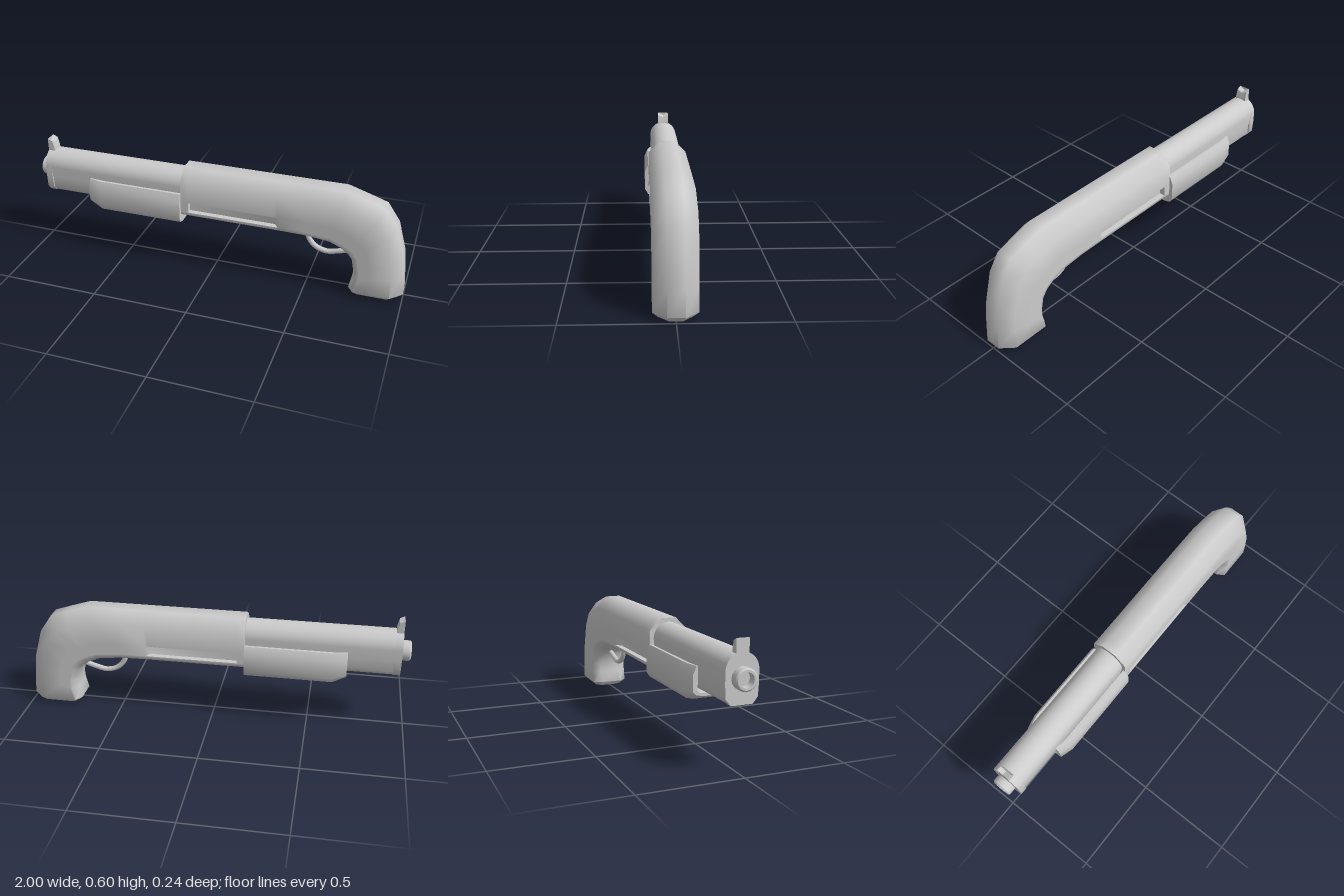
import * as THREE from 'three';
import { toCreasedNormals } from 'three/addons/utils/BufferGeometryUtils.js';

const material = new THREE.MeshStandardMaterial({ color: 0xcccccc });

// Skin a list of equal-length rings; ring point i is opposite point n-1-i, so caps are strips
function loft(rings, crease = 1.05) {
  const n = rings[0].length;
  let tris = [];
  const quad = (a, b, c, d) => tris.push([a, b, c], [a, c, d]);
  for (let k = 0; k < rings.length - 1; k++) {
    for (let i = 0; i < n; i++) {
      const j = (i + 1) % n;
      quad(rings[k][i], rings[k][j], rings[k + 1][j], rings[k + 1][i]);
    }
  }
  const first = rings[0], last = rings[rings.length - 1];
  for (let i = 0; i < n / 2 - 1; i++) {
    quad(first[i + 1], first[i], first[n - 1 - i], first[n - 2 - i]);
    quad(last[i], last[i + 1], last[n - 2 - i], last[n - 1 - i]);
  }
  // Drop collapsed triangles and turn the skin outward
  const cross = new THREE.Vector3(), e = new THREE.Vector3();
  tris = tris.filter(([a, b, c]) => cross.subVectors(b, a).cross(e.subVectors(c, a)).length() > 1e-9);
  const volume = tris.reduce((v, [a, b, c]) => v + a.dot(cross.crossVectors(b, c)), 0);
  if (volume < 0) tris.forEach((t) => t.reverse());
  const geometry = new THREE.BufferGeometry().setFromPoints(tris.flat());
  return toCreasedNormals(geometry, crease);
}

// Mirror a half section of [y, z] points and place it at x
function mirrored(x, half) {
  const left = half.map(([y, z]) => new THREE.Vector3(x, y, z));
  const right = half.map(([y, z]) => new THREE.Vector3(x, y, -z)).reverse();
  return [...left, ...right];
}

// Body ring between an outer and an inner profile point, with an optional side recess
function bodyRing([ox, oy, ix, iy, recess = 0, width = 0.1]) {
  const w = width;
  const half = [
    [0, w * 0.4], [0.22, w], [0.648, w], [0.648, w - recess],
    [0.852, w - recess], [0.852, w], [0.9, w], [1, w * 0.6],
  ];
  const at = (t, z) => new THREE.Vector3(ox + (ix - ox) * t, oy + (iy - oy) * t, z);
  return [...half.map(([t, z]) => at(t, z)), ...half.map(([t, z]) => at(t, -z)).reverse()];
}

export function createModel() {
  const model = new THREE.Group();
  const add = (name, geometry) => {
    const mesh = new THREE.Mesh(geometry, material);
    mesh.name = name;
    model.add(mesh);
    return mesh;
  };

  // Receiver flowing into the curved grip: outer x, y, inner x, y, recess, half width
  add('receiverAndGrip', loft([
    [-0.17, 0.56, -0.17, 0.29],
    [-0.13, 0.56, -0.13, 0.29],
    [-0.13, 0.56, -0.13, 0.29, 0.03],
    [0.33, 0.56, 0.33, 0.29, 0.03],
    [0.35, 0.56, 0.35, 0.29],
    [0.5, 0.56, 0.49, 0.288],
    [0.67, 0.56, 0.61, 0.275],
    [0.78, 0.525, 0.67, 0.25],
    [0.87, 0.495, 0.705, 0.225],
    [0.935, 0.4, 0.73, 0.195],
    [0.978, 0.25, 0.743, 0.13],
    [0.99, 0.15, 0.74, 0.09],
    [1, 0.025, 0.725, 0.025],
    [0.975, 0, 0.75, 0, 0, 0.075],
  ].map(bodyRing)));

  // Round-topped barrel with a flat-sided lug below
  const arc = (r, steps = 8) => Array.from({ length: steps + 1 }, (_, i) => {
    const a = (i / steps) * Math.PI / 2;
    return [0.46 + r * Math.cos(a), r * Math.sin(a)];
  });
  const barrel = [...arc(0.08), [0.4, 0.076], [0.4, 0.07], [0.335, 0.07], [0.312, 0.05]];
  add('barrel', loft([mirrored(-0.93, barrel), mirrored(-0.15, barrel)]));

  // Front plate
  const plate = [...arc(0.08), [0.4, 0.08], [0.34, 0.076], [0.31, 0.052]];
  add('frontPlate', loft([mirrored(-0.955, plate), mirrored(-0.92, plate)]));

  // Hollow muzzle
  const muzzle = add('muzzle', toCreasedNormals(new THREE.LatheGeometry(
    [[0, 0.01], [0.034, 0.01], [0.034, 0.052], [0.045, 0.052], [0.052, 0.045], [0.052, 0]]
      .map(([r, y]) => new THREE.Vector2(r, y)), 16), 0.6));
  muzzle.material = material.clone();
  muzzle.material.side = THREE.DoubleSide;
  muzzle.rotation.z = Math.PI / 2;
  muzzle.position.set(-0.948, 0.427, 0);

  // Notched sight, wider at its foot
  const sight = (x, tip, notch) => mirrored(x, [[notch, 0], [tip, 0.031], [0.52, 0.031], [0.52, 0]]);
  add('sight', loft([
    sight(-0.955, 0.6, 0.585), sight(-0.93, 0.588, 0.575), sight(-0.92, 0.548, 0.542),
  ], 0.5));

  // Sliding fore-end: a trough around the lug, chamfered at the front
  const foreEnd = (x, inset, lift) => {
    const outer = [[0.43, 0.102], [0.39, 0.12], [0.295 + lift * 0.6, 0.12], [0.268 + lift, 0.104], [0.26 + lift, 0.07]]
      .map(([y, z]) => [y, z - inset]);
    const inner = [[0.43, 0.088], [0.33, 0.088], [0.318, 0.08], [0.306, 0.07], [0.302, 0.05]]
      .map(([y, z]) => [y, Math.min(z, 0.102 - inset - 0.006)]);
    return [...mirrored(x, outer), ...mirrored(x, inner).reverse()];
  };
  add('foreEnd', loft([foreEnd(-0.69, 0.016, 0.028), foreEnd(-0.62, 0, 0), foreEnd(-0.17, 0, 0)]));

  // Trigger guard
  const guard = new THREE.CatmullRomCurve3([
    [0.485, 0.31], [0.49, 0.25], [0.53, 0.2], [0.59, 0.18], [0.65, 0.192], [0.74, 0.222],
  ].map(([x, y]) => new THREE.Vector3(x, y, 0)));
  add('triggerGuard', new THREE.TubeGeometry(guard, 20, 0.014, 8));

  return model;
}
